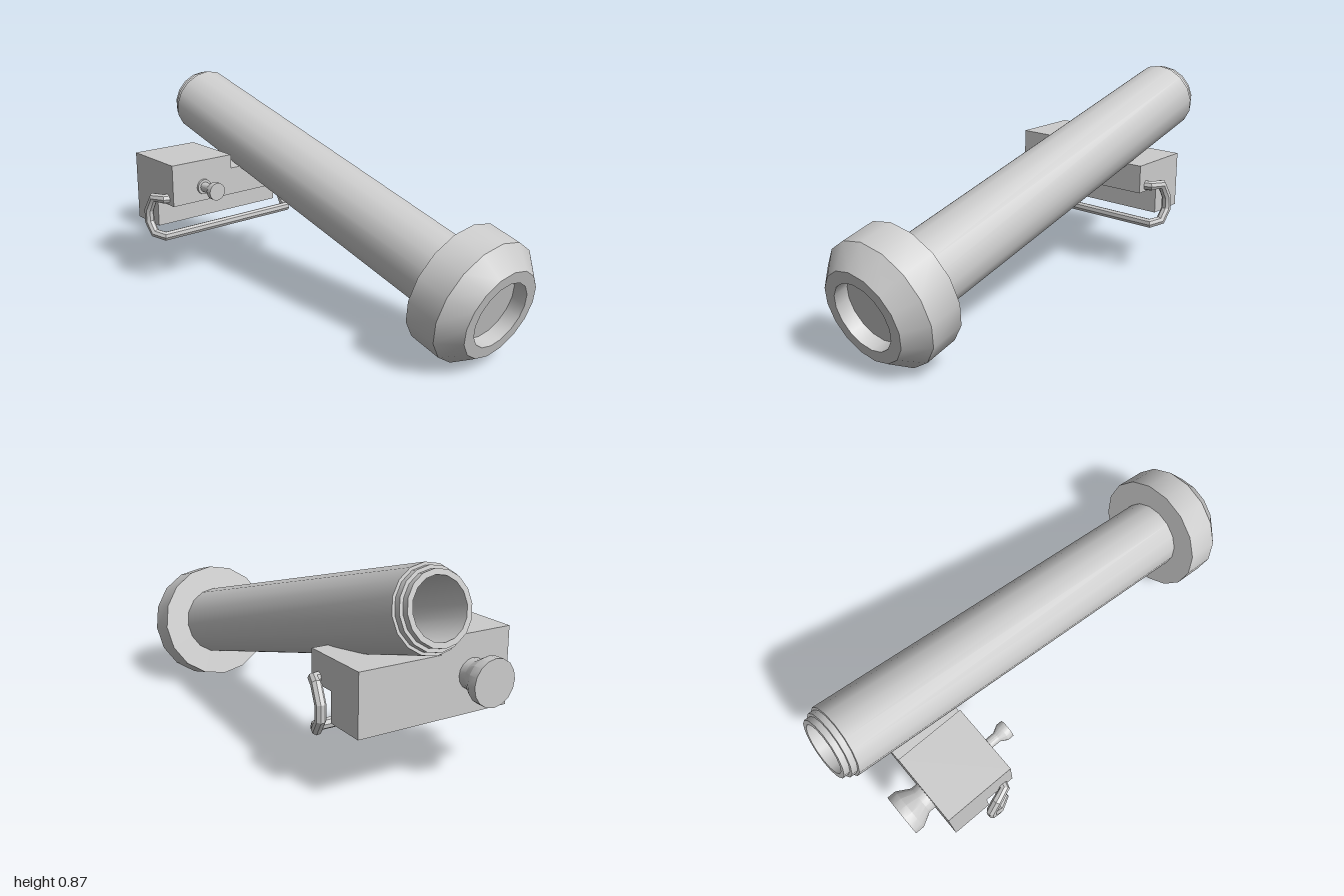
import * as THREE from 'three';
import { toCreasedNormals } from 'three/addons/utils/BufferGeometryUtils.js';

const material = new THREE.MeshStandardMaterial({ color: 0xcccccc });

function part(name, geometry, crease = 0.6) {
  const mesh = new THREE.Mesh(toCreasedNormals(geometry, crease), material);
  mesh.name = name;
  return mesh;
}

// Turned part: profile pairs are [radius, distance along the axis]
function turned(name, profile, segments = 16) {
  return part(name, new THREE.LatheGeometry(profile.map(([r, s]) => new THREE.Vector2(r, s)), segments));
}

// Straight-sided path with exact corners
class Polyline extends THREE.Curve {
  constructor(points) { super(); this.points = points; }
  getPoint(t, target = new THREE.Vector3()) {
    const n = this.points.length - 1;
    const i = Math.min(Math.floor(t * n + 1e-6), n - 1);
    return target.lerpVectors(this.points[i], this.points[i + 1], t * n - i);
  }
  getPointAt(t, target) { return this.getPoint(t, target); }
  getTangentAt(t, target = new THREE.Vector3()) {
    const p = this.points, n = p.length - 1, i = Math.round(t * n);
    const before = p[Math.max(i, 1)].clone().sub(p[Math.max(i, 1) - 1]).normalize();
    const after = p[Math.min(i + 1, n)].clone().sub(p[Math.min(i, n - 1)]).normalize();
    return target.copy(before).add(after).normalize();
  }
}

// Housing block with the lower front corner cut away, running from z0 to z1
function housingBlock(name, top, z0, z1) {
  const corners = [[-0.773, 0.263], [-0.6, 0.263], [-0.6, 0.383], [-0.468, 0.383], [-0.468, top], [-0.773, top]];
  const shape = new THREE.Shape(corners.map(([x, y]) => new THREE.Vector2(x, y)));
  const geometry = new THREE.ExtrudeGeometry(shape, { depth: z1 - z0, bevelEnabled: false });
  geometry.translate(0, 0, z0);
  return part(name, geometry);
}

export function createModel() {
  const model = new THREE.Group();
  model.name = 'launcher';

  // Tilted tube assembly
  const tube = new THREE.Group();
  tube.name = 'tubeAssembly';
  tube.position.set(-0.912, 0.727, -0.135);
  tube.rotation.z = -THREE.MathUtils.degToRad(105);
  tube.add(
    turned('barrel', [
      [0, 0.4], [0.108, 0.4], [0.108, -0.05], [0.128, -0.05], [0.128, -0.025],
      [0.141, -0.025], [0.141, 0], [0.152, 0], [0.152, 1.72],
    ]),
    turned('endCap', [
      [0, 1.705], [0.258, 1.705], [0.258, 1.844], [0.186, 1.924],
      [0.138, 1.924], [0.138, 1.864], [0, 1.864],
    ]),
  );
  model.add(tube);

  // Sight housing: tall block beside the tube, lower block beneath it
  model.add(housingBlock('sightHousing', 0.567, 0.027, 0.335));
  model.add(housingBlock('mountBlock', 0.505, -0.315, 0.027));

  // Eyepiece and front lens, both lying along x
  const eyepiece = turned('eyepiece', [
    [0, -0.895], [0.091, -0.895], [0.091, -0.857], [0.06, -0.803], [0.06, -0.765],
  ]);
  eyepiece.position.set(0, 0.413, 0.17);
  const lens = turned('frontLens', [
    [0.034, -0.475], [0.034, -0.458], [0.022, -0.458], [0.022, -0.415], [0.039, -0.385], [0.039, -0.36], [0, -0.36],
  ]);
  lens.position.set(0, 0.447, 0.178);
  for (const mesh of [eyepiece, lens]) {
    mesh.rotation.z = -Math.PI / 2;
    model.add(mesh);
  }

  // Grip handle: half path mirrored about the middle of the housing
  const middle = 0.005;
  const half = [
    [-0.515, 0.41, 0.325], [-0.52, 0.41, 0.35], [-0.575, 0.41, 0.37], [-0.612, 0.345, 0.375],
    [-0.612, 0.29, 0.375], [-0.578, 0.242, 0.37], [-0.53, 0.234, 0.345],
  ].map(([x, y, z]) => new THREE.Vector3(x, y, z));
  const mirrored = half.map((p) => new THREE.Vector3(p.x, p.y, 2 * middle - p.z)).reverse();
  const path = [...half, ...mirrored];
  model.add(part('gripHandle', new THREE.TubeGeometry(new Polyline(path), path.length - 1, 0.021, 8, false), 0.4));

  return model;
}
